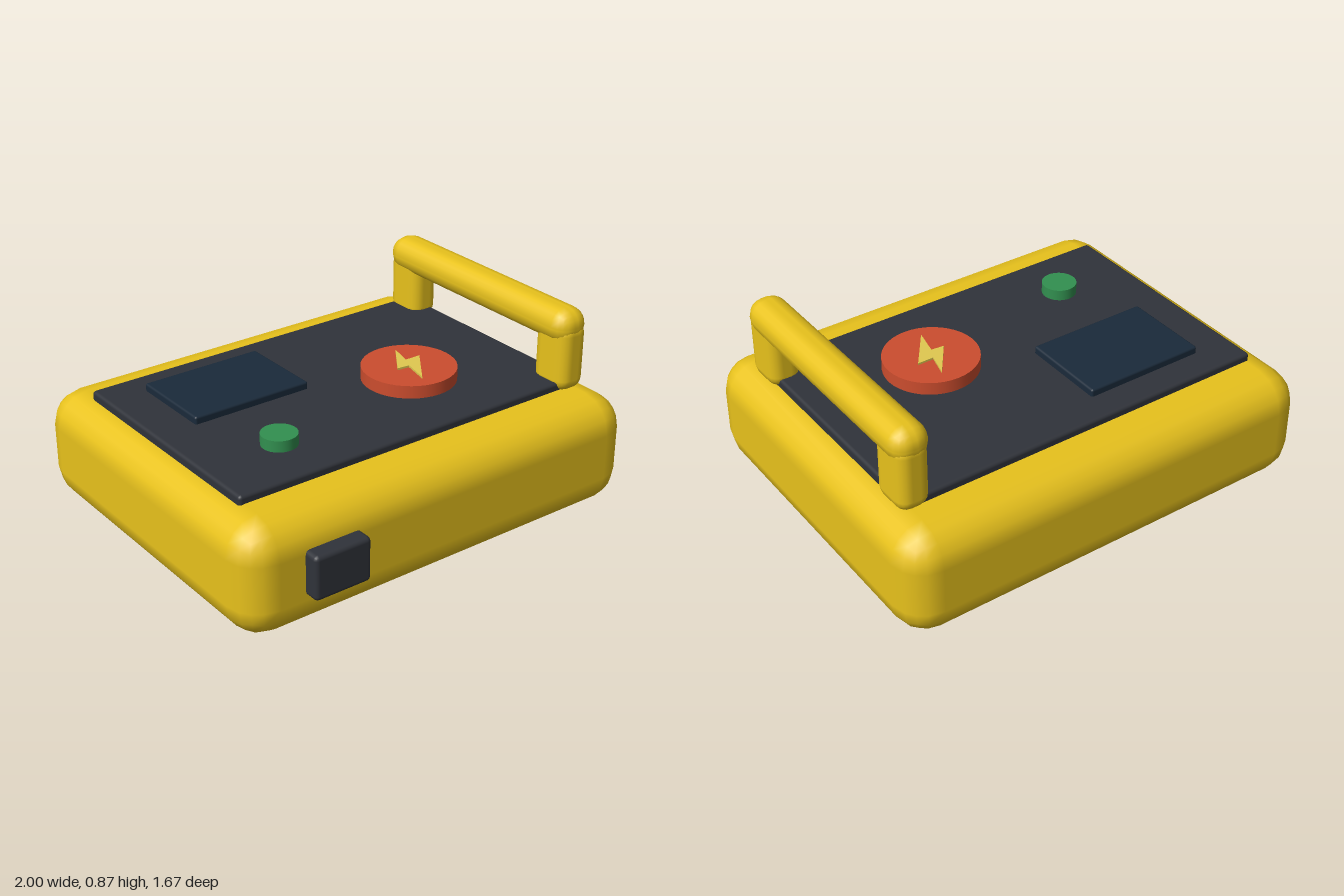
import * as THREE from 'three';
import { RoundedBoxGeometry } from 'three/addons/geometries/RoundedBoxGeometry.js';

const paint = (color) => new THREE.MeshStandardMaterial({ color });
const yellow = paint(0xe8c21c);
const charcoal = paint(0x30333a);
const navy = paint(0x1a2a3a);
const red = paint(0xcc4d2e);
const green = paint(0x329050);
const pale = paint(0xe0c850);

export function createModel() {
  const model = new THREE.Group();
  model.name = 'powerBox';

  const add = (name, geometry, material) => {
    const mesh = new THREE.Mesh(geometry, material);
    mesh.name = name;
    model.add(mesh);
    return mesh;
  };

  // Rounded box given by its extents on each axis
  const block = (name, [x0, x1], [y0, y1], [z0, z1], radius, material) =>
    add(name, new RoundedBoxGeometry(x1 - x0, y1 - y0, z1 - z0, 2, radius), material)
      .position.set((x0 + x1) / 2, (y0 + y1) / 2, (z0 + z1) / 2);

  // Round button standing on the panel
  const disc = (name, x, z, radius, y0, y1, material) =>
    add(name, new THREE.CylinderGeometry(radius, radius, y1 - y0, 40), material)
      .position.set(x, (y0 + y1) / 2, z);

  // Case, top panel, screen and front socket
  block('body', [-1, 1], [0, 0.505], [-0.835, 0.765], 0.15, yellow);
  block('topPanel', [-0.87, 0.87], [0.46, 0.54], [-0.605, 0.53], 0.015, charcoal);
  block('screen', [-0.685, -0.12], [0.51, 0.573], [-0.472, -0.07], 0.01, navy);
  block('frontSocket', [-0.735, -0.47], [0.172, 0.37], [0.68, 0.832], 0.02, charcoal);

  // Buttons
  disc('powerButton', 0.295, 0.1, 0.21, 0.52, 0.598, red);
  disc('smallButton', -0.503, 0.265, 0.078, 0.52, 0.59, green);

  // Lightning bolt: outline in x and z, laid flat on the power button
  const outline = [
    [0.334, -0.043], [0.222, 0.112], [0.281, 0.118],
    [0.254, 0.24], [0.382, 0.064], [0.307, 0.064],
  ];
  const shape = new THREE.Shape(outline.map(([x, z]) => new THREE.Vector2(x, -z)));
  const bolt = add('boltSymbol',
    new THREE.ExtrudeGeometry(shape, { depth: 0.017, bevelEnabled: false }), pale);
  bolt.rotation.x = -Math.PI / 2;
  bolt.position.y = 0.59;

  // Carrying handle: two posts and a grip along the left side
  for (const [name, z] of [['handlePostFront', [0.37, 0.565]], ['handlePostBack', [-0.63, -0.433]]])
    block(name, [0.76, 0.905], [0.493, 0.81], z, 0.055, yellow);
  block('handleGrip', [0.745, 0.915], [0.71, 0.868], [-0.632, 0.565], 0.075, yellow);

  return model;
}
